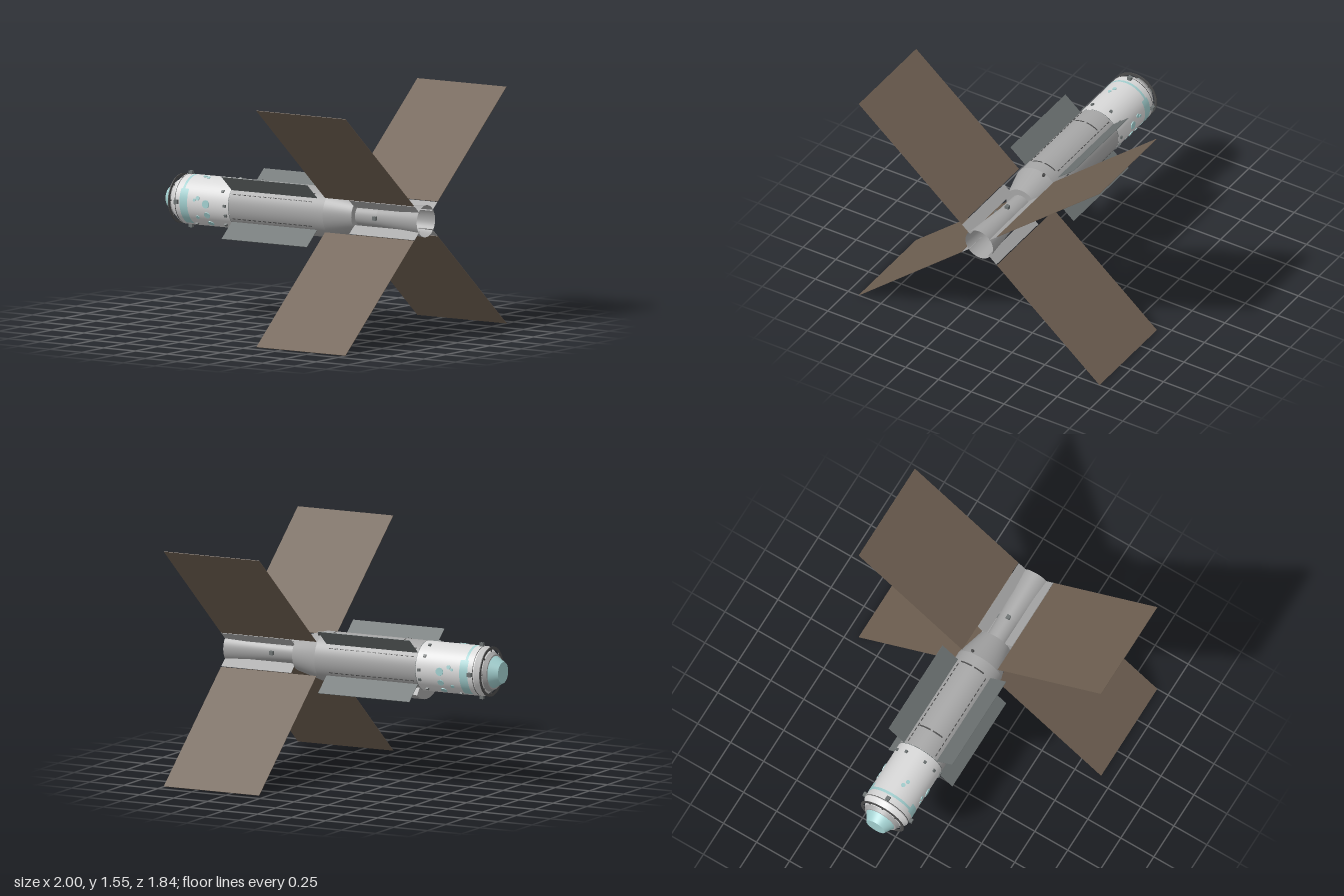
import * as THREE from 'three';

const mat = (name, color) => {
  const m = new THREE.MeshStandardMaterial({ color, side: THREE.DoubleSide });
  m.name = name;
  return m;
};

export function createModel() {
  const white = mat('light hull', 0xd8d8d8);
  const grey = mat('grey hull', 0xa6a6a6);
  const fin = mat('radiator grey', 0x6c7272);
  const brown = mat('solar brown', 0x6e5f51);
  const teal = mat('pale teal', 0xa2cfcf);
  const dark = mat('dark trim', 0x4c4c4c);

  const DEG = Math.PI / 180;
  const R = 0.163;
  const root = new THREE.Group();
  root.name = 'spaceStation';
  // Everything hangs on the hull axis, which runs along x
  const hull = new THREE.Group();
  hull.name = 'hull';
  hull.position.y = 0.773;
  root.add(hull);

  const add = (name, geo, material, parent = hull) => {
    const m = new THREE.Mesh(geo, material);
    m.name = name;
    parent.add(m);
    return m;
  };

  // Conical section from x0 to x1; angles run from up (0) towards +z (90)
  const section = (name, x0, r0, x1, r1, material, a0 = 0, a1 = 360) => {
    const g = new THREE.CylinderGeometry(r1, r0, x1 - x0, a1 - a0 === 360 ? 64 : 24, 1, true,
      (a0 - 90) * DEG, (a1 - a0) * DEG);
    g.rotateZ(-Math.PI / 2);
    g.translate((x0 + x1) / 2, 0, 0);
    return add(name, g, material);
  };

  // Flat ring or disc across the axis, facing +x (dir 1) or -x (dir -1)
  const disc = (name, x, rIn, rOut, dir, material) => {
    const g = rIn > 0 ? new THREE.RingGeometry(rIn, rOut, 64) : new THREE.CircleGeometry(rOut, 64);
    g.rotateY(dir * Math.PI / 2);
    g.translate(x, 0, 0);
    return add(name, g, material);
  };

  // Box with its local y pointing away from the axis at angle a
  const radialBox = (name, x, r, a, size, material) => {
    const g = new THREE.BoxGeometry(...size);
    g.translate(x, r, 0);
    g.rotateX(a * DEG);
    return add(name, g, material);
  };

  // Round plate lying on the hull surface
  const button = (name, x, r, a, radius, height, material) => {
    const g = new THREE.CylinderGeometry(radius, radius, height, 16);
    g.translate(x, r, 0);
    g.rotateX(a * DEG);
    return add(name, g, material);
  };

  // Nose
  disc('noseCap', -1, 0, 0.07, -1, teal);
  section('noseCone', -1, 0.07, -0.94, 0.105, teal);
  section('noseCollar', -0.94, 0.115, -0.915, 0.13, grey);
  disc('noseCollarFace', -0.94, 0.09, 0.115, -1, grey);
  section('shoulder', -0.915, 0.13, -0.87, R, white);
  section('frontHoop', -0.917, 0.163, -0.911, 0.163, dark);
  disc('frontHoopFace', -0.917, 0.145, 0.163, -1, dark);
  disc('frontHoopBack', -0.911, 0.145, 0.163, 1, dark);
  for (let i = 0; i < 8; i++) radialBox('hoopStrut', -0.914, 0.14, i * 45, [0.006, 0.03, 0.008], dark);

  // Main hull, tail cone and flared tail tube
  section('frontHull', -0.87, R, -0.44, R, white);
  section('middleHull', -0.44, R, 0.3, R, grey);
  section('tailCone', 0.3, R, 0.49, 0.112, grey);
  disc('tailConeFace', 0.49, 0.06, 0.112, 1, grey);
  section('tailTube', 0.49, 0.07, 0.66, 0.075, grey);
  section('tailFlare', 0.66, 0.075, 1, 0.105, grey);
  disc('tailBulkhead', 0.66, 0, 0.075, 1, grey);
  section('seam', -0.864, 0.1635, -0.859, 0.1635, dark);
  section('frontSeam', -0.445, 0.1635, -0.441, 0.1635, fin);

  // Four diagonal sets of solar panels, root plates and radiators
  for (const a of [49.9, 130.1, -49.9, -130.1]) {
    radialBox('solarPanel', 0.65, 0.688, a, [0.7, 1.024, 0.003], brown);
    radialBox('panelRoot', 0.744, 0.131, a, [0.512, 0.08, 0.003], grey);
    radialBox('radiator', -0.105, 0.232, a, [0.67, 0.166, 0.004], fin);
    for (const off of [-11, 11]) {
      for (let i = 0; i < 16; i++) {
        radialBox('railClip', -0.41 + i * 0.04, 0.164, a + off, [0.024, 0.005, 0.005], dark);
      }
    }
  }

  // Curved belly fairing
  const sector = new THREE.Shape();
  sector.absarc(0, 0, 0.22, -127 * DEG, -53 * DEG, false);
  sector.absarc(0, 0, 0.155, -53 * DEG, -127 * DEG, true);
  const belly = new THREE.ExtrudeGeometry(sector, { depth: 0.13, bevelEnabled: false, curveSegments: 24 });
  belly.rotateY(Math.PI / 2);
  belly.translate(-0.44, 0, 0);
  add('bellyFairing', belly, grey);

  // Teal bands and round ports on the front hull
  section('thinBand', -0.815, 0.1645, -0.797, 0.1645, teal, -150, 150);
  for (const s of [1, -1]) {
    const range = s > 0 ? [58, 150] : [-150, -58];
    section('wideBand', -0.825, 0.165, -0.765, 0.165, teal, ...range);
    for (const [x, a, r] of [[-0.62, 90, 0.027], [-0.62, 117, 0.022], [-0.62, 143, 0.022],
      [-0.685, 78, 0.014], [-0.71, 83, 0.01], [-0.7, 125, 0.013], [-0.71, 12 * s, 0.014], [-0.675, 17, 0.013]]) {
      if (s < 0 && a < 30 && a > 0) continue;
      button('port', x, 0.163, s * a, r, 0.008, teal);
    }
    // Small fittings
    for (const [x, a] of [[-0.5, 57], [-0.47, 90], [-0.47, 113], [-0.5, 142], [-0.74, 150], [-0.5, 25]]) {
      radialBox('fitting', x, 0.166, s * a, [0.018, 0.014, 0.018], fin);
    }
  }

  // Thruster blocks around the nose and tail
  for (const a of [0, 90, 180, 270]) {
    radialBox('noseThruster', -0.845, 0.17, a, [0.026, 0.03, 0.026], fin);
    radialBox('tailThruster', 0.655, 0.083, a, [0.026, 0.026, 0.026], fin);
  }

  // Handrail hoops over the top and a sensor on the tail cone
  for (const x of [-0.295, 0.22]) {
    section('handrail', x - 0.005, 0.167, x + 0.005, 0.167, dark, -34, -4);
    section('handrail', x - 0.005, 0.167, x + 0.005, 0.167, dark, 2, 28);
  }
  button('sensor', 0.315, 0.163, -23, 0.01, 0.02, dark);

  return root;
}
